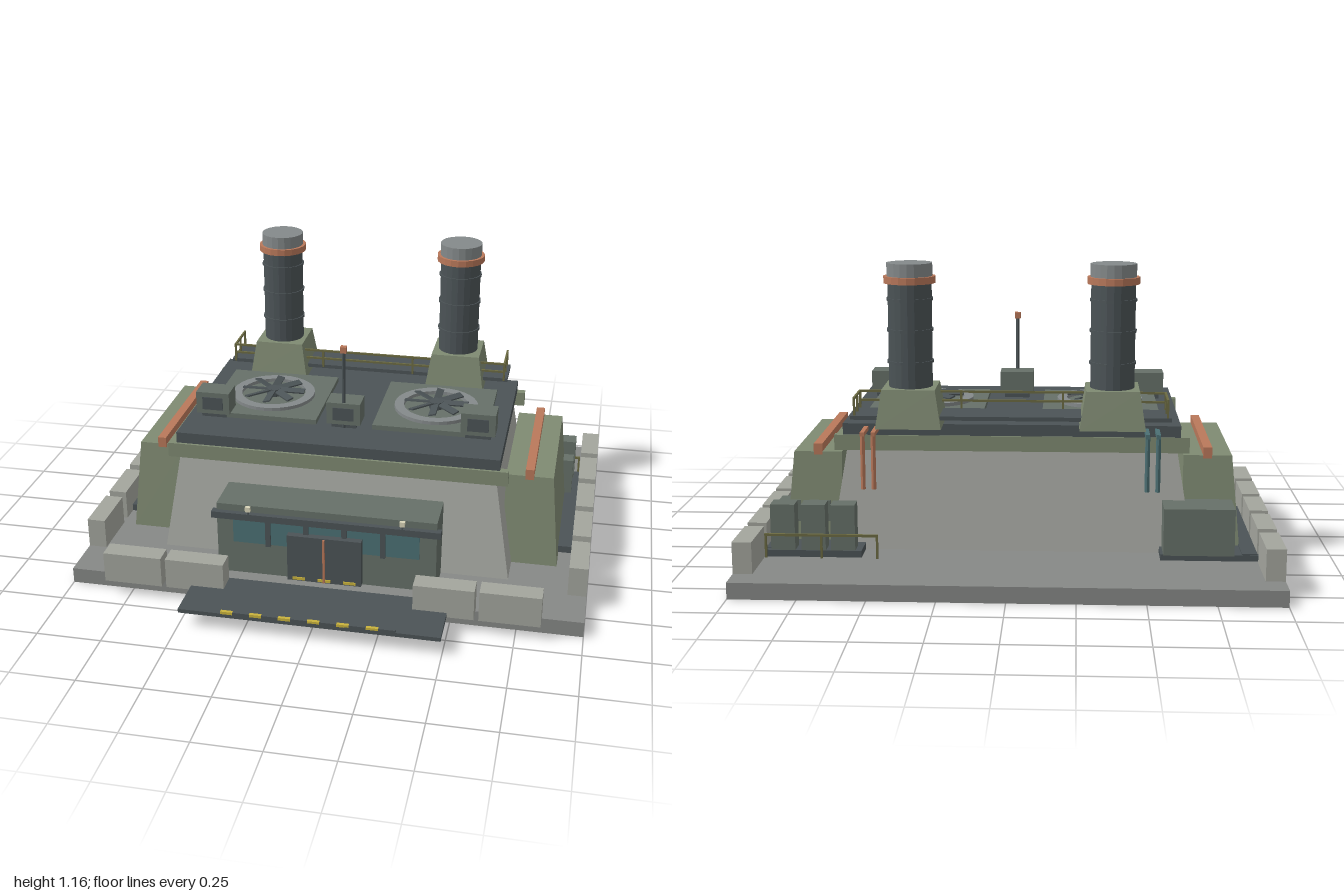
import * as THREE from 'three';

const COLORS = {
  hull: 0xa9aba5, slab: 0x868886, green: 0x7f8a72, unit: 0x667068, dark: 0x4b5356, copper: 0xb9785a,
  block: 0xa3a59d, rail: 0x6b6a42, teal: 0x4c7074, yellow: 0xc9b23c, cap: 0x84898a, cream: 0xd8d4b8,
};
const mats = {};
for (const k in COLORS) mats[k] = new THREE.MeshStandardMaterial({ color: COLORS[k], flatShading: true });

function add(parent, name, geo, mat, x = 0, y = 0, z = 0) {
  const m = new THREE.Mesh(geo, mats[mat]);
  m.name = name;
  m.position.set(x, y, z);
  parent.add(m);
  return m;
}

// Box given by its low and high limits on each axis
function box(parent, name, mat, [x0, x1], [y0, y1], [z0, z1]) {
  return add(parent, name, new THREE.BoxGeometry(x1 - x0, y1 - y0, z1 - z0), mat,
    (x0 + x1) / 2, (y0 + y1) / 2, (z0 + z1) / 2);
}

// Box whose top rectangle differs from its bottom one; rectangles are [x0, x1, z0, z1]
function taper(parent, name, mat, bottom, top, y0, y1) {
  const g = new THREE.BoxGeometry(1, 1, 1), p = g.attributes.position;
  for (let i = 0; i < p.count; i++) {
    const up = p.getY(i) > 0, r = up ? top : bottom;
    p.setXYZ(i, p.getX(i) < 0 ? r[0] : r[1], up ? y1 : y0, p.getZ(i) < 0 ? r[2] : r[3]);
  }
  g.computeVertexNormals();
  return add(parent, name, g, mat);
}

const cyl = (r, h, n = 20) => new THREE.CylinderGeometry(r, r, h, n);

function group(parent, name, x = 0, y = 0, z = 0) {
  const g = new THREE.Group();
  g.name = name;
  g.position.set(x, y, z);
  parent.add(g);
  return g;
}

function chimney(root, x) {
  const g = group(root, 'chimney', x, 0, -0.41);
  taper(g, 'chimneyFoot', 'green', [-0.123, 0.123, -0.123, 0.123], [-0.1, 0.1, -0.1, 0.1], 0.555, 0.7);
  add(g, 'chimneyShaft', cyl(0.083, 0.42), 'dark', 0, 0.9, 0);
  for (const y of [0.795, 0.915, 1.03]) add(g, 'chimneyBand', cyl(0.088, 0.01), 'dark', 0, y, 0);
  add(g, 'copperCollar', cyl(0.098, 0.026), 'copper', 0, 1.103, 0);
  add(g, 'chimneyCap', cyl(0.086, 0.05), 'cap', 0, 1.14, 0);
}

function fan(root, x) {
  const g = group(root, 'roofFan', x, 0, -0.05);
  box(g, 'fanPad', 'unit', [-0.226, 0.226], [0.555, 0.576], [-0.226, 0.216]);
  const ring = new THREE.Shape().absarc(0, 0, 0.17, 0, Math.PI * 2);
  ring.holes.push(new THREE.Path().absarc(0, 0, 0.132, 0, Math.PI * 2, true));
  const geo = new THREE.ExtrudeGeometry(ring, { depth: 0.014, bevelEnabled: false, curveSegments: 16 });
  add(g, 'fanRing', geo.rotateX(-Math.PI / 2), 'cap', 0, 0.576, 0);
  add(g, 'fanHub', cyl(0.03, 0.03, 12), 'dark', 0, 0.591, 0);
  for (let i = 0; i < 8; i++) {
    const blade = new THREE.BoxGeometry(0.11, 0.006, 0.03).rotateX(0.25).translate(0.075, 0, 0);
    add(g, 'fanBlade', blade, 'dark', 0, 0.6, 0).rotation.y = i * Math.PI / 4;
  }
}

function roofUnit(root, x) {
  const g = group(root, 'roofUnit', x);
  box(g, 'unitBody', 'unit', [-0.068, 0.068], [0.574, 0.665], [0.087, 0.182]);
  box(g, 'unitFeet', 'dark', [-0.05, 0.05], [0.555, 0.574], [0.1, 0.17]);
  box(g, 'unitVent', 'dark', [-0.042, 0.042], [0.592, 0.645], [0.18, 0.185]);
}

// Bay with windows, double door and canopy
function entrance(root) {
  const g = group(root, 'entrance');
  box(g, 'entranceBay', 'unit', [-0.43, 0.43], [0.06, 0.36], [0.25, 0.525]);
  box(g, 'canopyLip', 'dark', [-0.447, 0.447], [0.305, 0.332], [0.515, 0.546]);
  for (let i = -2; i <= 2; i++)
    box(g, 'window', 'teal', [i * 0.15 - 0.065, i * 0.15 + 0.065], [0.2, 0.305], [0.52, 0.531]);
  for (const x of [-0.225, -0.075, 0.075, 0.225])
    box(g, 'windowPost', 'dark', [x - 0.01, x + 0.01], [0.195, 0.305], [0.52, 0.54]);
  box(g, 'door', 'dark', [-0.145, 0.145], [0.07, 0.265], [0.52, 0.558]);
  box(g, 'doorSeam', 'copper', [-0.004, 0.004], [0.075, 0.262], [0.555, 0.568]);
  for (const i of [-1, 0, 1])
    box(g, 'sillStripe', 'yellow', [i * 0.1 - 0.025, i * 0.1 + 0.025], [0.075, 0.086], [0.556, 0.562]);
  for (const x of [-0.3, 0.3]) {
    box(g, 'canopyLamp', 'cream', [x - 0.01, x + 0.01], [0.345, 0.365], [0.536, 0.55]);
    box(g, 'lampStem', 'dark', [x - 0.003, x + 0.003], [0.33, 0.346], [0.538, 0.545]);
  }
}

// Catwalk behind the roof with rail on the roof side and both ends
function catwalk(root) {
  const g = group(root, 'catwalk');
  box(g, 'catwalkFloor', 'dark', [-0.6, 0.6], [0.585, 0.6], [-0.505, -0.345]);
  const r = 0.004;
  for (const y of [0.63, 0.665])
    box(g, 'frontRail', 'rail', [-0.585, 0.585], [y - r, y + r], [-0.349, -0.341]);
  for (const x of [-0.585, -0.195, 0.195, 0.585])
    box(g, 'railPost', 'rail', [x - r, x + r], [0.59, 0.665], [-0.349, -0.341]);
  for (const x of [-0.585, 0.585]) {
    box(g, 'endRail', 'rail', [x - r, x + r], [0.661, 0.669], [-0.5, -0.341]);
    for (const z of [-0.42, -0.495])
      box(g, 'railPost', 'rail', [x - r, x + r], [0.59, 0.665], [z - r, z + r]);
  }
}

// Drain pipe that leaves the roof edge and turns down the back
function pipe(root, x, mat) {
  const g = group(root, 'backPipe', x);
  box(g, 'pipeArm', mat, [-0.008, 0.008], [0.53, 0.546], [-0.545, -0.42]);
  add(g, 'pipeDrop', cyl(0.009, 0.21, 8), mat, 0, 0.432, -0.536);
}

export function createModel() {
  const root = new THREE.Group();
  root.name = 'bunkerStation';

  // Ground slab and ramp
  box(root, 'groundSlab', 'slab', [-1, 1], [0, 0.062], [-0.86, 0.63]);
  box(root, 'ramp', 'dark', [-0.495, 0.495], [0.063, 0.079], [0.605, 0.855]);
  for (let i = 0; i < 6; i++) {
    const x = -0.33 + i * 0.11;
    box(root, 'rampStripe', 'yellow', [x, x + 0.046], [0.077, 0.088], [0.842, 0.855]);
    box(root, 'rampStripeGap', 'dark', [x + 0.046, x + 0.11], [0.077, 0.088], [0.842, 0.855]);
  }

  // Sloped hull, eave bands and roof
  taper(root, 'hull', 'hull', [-0.695, 0.695, -0.44, 0.38], [-0.62, 0.62, -0.4, 0.33], 0.06, 0.512);
  for (const z of [-0.44, 0.32])
    box(root, 'eaveBand', 'green', [-0.673, 0.673], [0.453, 0.512], [z, z + 0.032]);
  box(root, 'roof', 'dark', [-0.64, 0.64], [0.511, 0.556], [-0.435, 0.342]);

  // Mirrored parts
  for (const s of [-1, 1]) {
    const span = (a, b) => [Math.min(s * a, s * b), Math.max(s * a, s * b)];
    taper(root, 'sideButtress', 'green', [...span(0.655, 0.875), -0.41, 0.245],
      [...span(0.655, 0.84), -0.38, 0.208], 0.06, 0.432);
    box(root, 'buttressRidge', 'copper', span(0.73, 0.764), [0.42, 0.463], [-0.382, 0.215]);
    for (const x of [0.48, 0.728])
      box(root, 'frontBarrier', 'block', span(x - 0.115, x + 0.115), [0.06, 0.182], [0.61, 0.688]);
    for (let i = 0; i < 5; i++) {
      const z = 0.343 - i * 0.25;
      box(root, 'sideBarrier', 'block', span(0.928, 1), [0.06, 0.182], [z - 0.104, z + 0.104]);
    }
    box(root, 'sideDuct', 'dark', span(0.87, 0.928), [0.06, 0.09], [-0.53, 0.13]);
    chimney(root, s * 0.38);
    fan(root, s * 0.34);
  }
  for (const x of [-0.535, 0, 0.535]) roofUnit(root, x);
  entrance(root);
  catwalk(root);

  // Roof mast
  add(root, 'mast', cyl(0.007, 0.33, 8), 'dark', 0, 0.715, 0.17);
  box(root, 'mastTip', 'copper', [-0.012, 0.012], [0.878, 0.903], [0.158, 0.182]);

  // Back yard: generator on one side, crates and rail on the other
  box(root, 'generatorPlate', 'dark', [-0.97, -0.565], [0.06, 0.085], [-0.535, -0.39]);
  box(root, 'generator', 'unit', [-0.84, -0.575], [0.085, 0.265], [-0.548, -0.4]);
  box(root, 'cratePlate', 'dark', [0.56, 0.93], [0.06, 0.088], [-0.55, -0.335]);
  for (const x of [0.63, 0.742, 0.858]) {
    box(root, 'crate', 'unit', [x - 0.046, x + 0.046], [0.088, 0.265], [-0.548, -0.48]);
    box(root, 'rearCrate', 'unit', [x - 0.042, x + 0.042], [0.088, 0.243], [-0.402, -0.338]);
  }
  box(root, 'yardRail', 'rail', [0.495, 0.925], [0.147, 0.156], [-0.566, -0.557]);
  for (const x of [0.499, 0.71, 0.921])
    box(root, 'yardRailPost', 'rail', [x - 0.004, x + 0.004], [0.06, 0.15], [-0.566, -0.557]);

  for (const x of [0.51, 0.55]) {
    pipe(root, x, 'copper');
    pipe(root, -x, 'teal');
  }
  return root;
}
